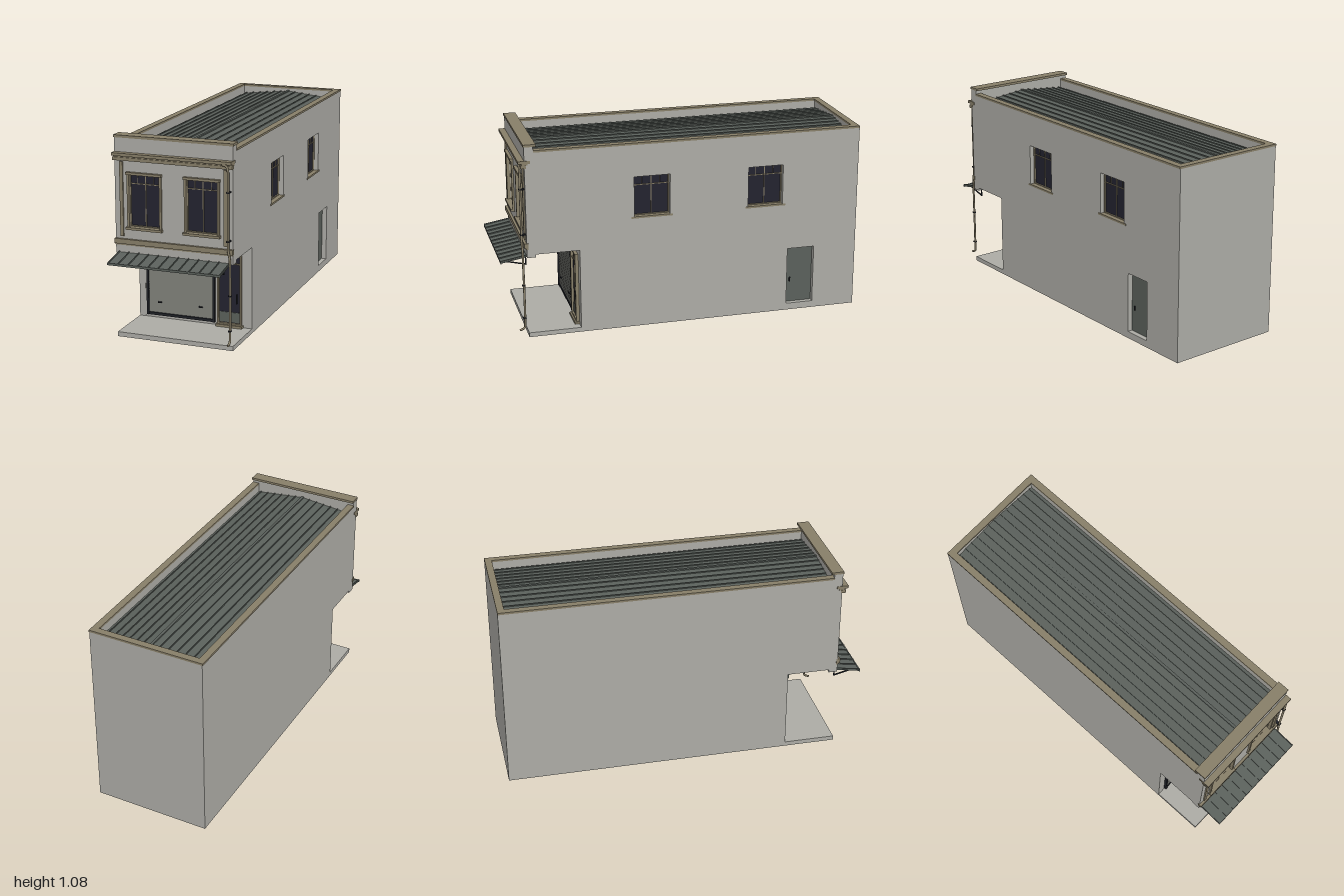
import * as THREE from 'three';

const mat = (name, color) => Object.assign(new THREE.MeshStandardMaterial({ color }), { name });
const wall = mat('render grey', 0xacaba5);
const trim = mat('stone trim', 0x877e68);
const metal = mat('sheet metal', 0x5a605b);
const glass = mat('dark glass', 0x23232f);
const dark = mat('dark iron', 0x1e2026);
const slat = mat('shutter grey', 0x74756f);

// Box given by its limits on each axis
function box(parent, name, material, x0, x1, y0, y1, z0, z1) {
  const m = new THREE.Mesh(new THREE.BoxGeometry(x1 - x0, y1 - y0, z1 - z0), material);
  m.position.set((x0 + x1) / 2, (y0 + y1) / 2, (z0 + z1) / 2);
  m.name = name;
  parent.add(m);
  return m;
}

// Wall panel from an outline with rectangular holes [u0, u1, v0, v1]
function panel(parent, name, outline, holes, depth) {
  const shape = new THREE.Shape(outline.map(([u, v]) => new THREE.Vector2(u, v)));
  for (const [a, b, c, d] of holes) {
    shape.holes.push(new THREE.Path([[a, c], [a, d], [b, d], [b, c]].map(([u, v]) => new THREE.Vector2(u, v))));
  }
  const m = new THREE.Mesh(new THREE.ExtrudeGeometry(shape, { depth, bevelEnabled: false }), wall);
  m.name = name;
  parent.add(m);
  return m;
}

function frame(parent, w, h, t, z0, z1) {
  box(parent, 'frameLeft', trim, -w / 2, -w / 2 + t, 0, h, z0, z1);
  box(parent, 'frameRight', trim, w / 2 - t, w / 2, 0, h, z0, z1);
  box(parent, 'frameTop', trim, -w / 2 + t, w / 2 - t, h - t, h, z0, z1);
  box(parent, 'frameBottom', trim, -w / 2 + t, w / 2 - t, 0, t, z0, z1);
}

// Sash window facing +z, standing on its own y = 0
function makeWindow(w, h, transom) {
  const g = new THREE.Group();
  g.name = 'window';
  box(g, 'pane', glass, -w / 2, w / 2, 0, h, -0.008, 0);
  frame(g, w, h, 0.006, 0, 0.008);
  box(g, 'mullion', trim, -0.002, 0.002, 0, h, 0, 0.005);
  box(g, 'transom', trim, -w / 2, w / 2, transom - 0.002, transom + 0.002, 0, 0.006);
  for (const s of [-1, 1]) box(g, 'glazingBar', trim, s * w / 4 - 0.001, s * w / 4 + 0.001, transom, h, 0, 0.004);
  return g;
}

function makeShell() {
  const g = new THREE.Group();
  g.name = 'shell';
  const X = 0.322, T = 0.035;
  box(g, 'floorSlab', wall, -X, X, 0, 0.025, -1, 0.86);
  box(g, 'backWall', wall, -X, X, 0.025, 1.035, -1, -0.965);
  // Side walls, u runs towards the back
  const side = [[-0.574, 0.025], [0.966, 0.025], [0.966, 1.035], [-0.81, 1.035], [-0.81, 0.472], [-0.574, 0.472]];
  const holes = [[-0.273, -0.075, 0.633, 0.858], [0.365, 0.563, 0.633, 0.858], [0.6, 0.755, 0.038, 0.367]];
  for (const s of [-1, 1]) {
    const m = panel(g, s > 0 ? 'leftWall' : 'rightWall', side, s > 0 ? holes : [], T);
    m.rotation.y = Math.PI / 2;
    m.position.x = s > 0 ? X - T : -X;
  }
  // Upper front wall with two openings and the taller parapet
  panel(g, 'upperFrontWall', [[-X, 0.456], [X, 0.456], [X, 1.066], [-X, 1.066]],
    [[-0.244, -0.068, 0.603, 0.88], [0.07, 0.244, 0.603, 0.88]], 0.048).position.z = 0.81;
  box(g, 'shopWall', wall, -X + T, X - T, 0.025, 0.472, 0.54, 0.573);
  box(g, 'porchCeiling', wall, -X + T, X - T, 0.472, 0.49, 0.54, 0.81);
  box(g, 'porchLamp', dark, -0.02, 0.02, 0.462, 0.472, 0.72, 0.75);

  // Copings
  for (const s of [-1, 1]) box(g, 'sideCoping', trim, s * 0.306 - 0.019, s * 0.306 + 0.019, 1.035, 1.046, -1, 0.81);
  box(g, 'backCoping', trim, -0.287, 0.287, 1.035, 1.046, -1, -0.962);
  box(g, 'frontCoping', trim, -0.325, 0.325, 1.066, 1.079, 0.795, 0.862);
  return g;
}

function makeRoof() {
  const g = new THREE.Group();
  g.name = 'roof';
  const shape = new THREE.Shape([[-0.289, 0.97], [0.289, 0.97], [0.289, 0.99], [0, 1.02], [-0.289, 0.99]].map(p => new THREE.Vector2(...p)));
  const deck = new THREE.Mesh(new THREE.ExtrudeGeometry(shape, { depth: 1.775, bevelEnabled: false }), metal);
  deck.position.z = -0.965;
  deck.name = 'roofDeck';
  g.add(deck);
  for (let i = -6; i <= 6; i++) {
    const x = i * 0.045, y = 1.02 - Math.abs(x) * 0.104, w = i ? 0.002 : 0.007;
    box(g, 'seam', metal, x - w, x + w, y - 0.004, y + 0.006, -0.965, 0.81);
  }
  return g;
}

function makeFacade() {
  const g = new THREE.Group();
  g.name = 'facadeTrim';
  box(g, 'corniceTop', trim, -0.325, 0.325, 0.977, 0.992, 0.828, 0.892);
  box(g, 'corniceNeck', trim, -0.324, 0.324, 0.968, 0.977, 0.84, 0.872);
  box(g, 'corniceBase', trim, -0.325, 0.325, 0.951, 0.968, 0.85, 0.878);
  box(g, 'stringCourse', trim, -0.325, 0.325, 0.511, 0.537, 0.85, 0.872);
  box(g, 'stringCourseLip', trim, -0.323, 0.323, 0.503, 0.511, 0.85, 0.864);
  for (const s of [-1, 1]) box(g, 'pilasterStrip', trim, s * 0.284 - 0.009, s * 0.284 + 0.009, 0.551, 0.943, 0.855, 0.866);
  for (const x of [-0.157, 0.157]) {
    const win = makeWindow(0.176, 0.277, 0.226);
    win.position.set(x, 0.603, 0.84);
    g.add(win);
    box(g, 'lintel', trim, x - 0.098, x + 0.098, 0.879, 0.892, 0.85, 0.876);
    box(g, 'sill', trim, x - 0.1, x + 0.1, 0.591, 0.604, 0.84, 0.88);
    for (const s of [-1, 1]) box(g, 'casing', trim, x + s * 0.089 - 0.006, x + s * 0.089 + 0.006, 0.604, 0.879, 0.85, 0.868);
  }
  return g;
}

function makeSideOpenings() {
  const g = new THREE.Group();
  g.name = 'sideOpenings';
  for (const z of [0.174, -0.464]) {
    const win = makeWindow(0.198, 0.225, 0.171);
    win.rotation.y = Math.PI / 2;
    win.position.set(0.29, 0.633, z);
    g.add(win);
    box(g, 'sideSill', trim, 0.288, 0.325, 0.625, 0.635, z - 0.115, z + 0.115);
  }
  box(g, 'sideDoor', metal, 0.285, 0.294, 0.038, 0.367, -0.755, -0.6);
  box(g, 'sideDoorHandle', dark, 0.294, 0.302, 0.16, 0.185, -0.629, -0.623);
  return g;
}

function makeShopfront() {
  const g = new THREE.Group();
  g.name = 'shopfront';
  // Roller shutter
  box(g, 'shutterBack', slat, -0.264, 0.104, 0.04, 0.425, 0.57, 0.576);
  for (let i = 0; i < 36; i++) {
    const y = 0.055 + i * 0.01;
    box(g, 'shutterSlat', slat, -0.264, 0.104, y, y + 0.0095, 0.574, 0.579).rotation.x = -0.3;
  }
  for (const x of [-0.27, 0.11]) box(g, 'shutterRail', dark, x - 0.006, x + 0.006, 0.04, 0.43, 0.572, 0.588);
  box(g, 'shutterBottomBar', dark, -0.264, 0.104, 0.04, 0.054, 0.572, 0.584);
  box(g, 'shutterHousing', metal, -0.278, 0.118, 0.42, 0.448, 0.572, 0.595);
  for (const x of [-0.2, 0.035]) box(g, 'shutterHandle', dark, x - 0.01, x + 0.01, 0.112, 0.118, 0.578, 0.588);

  // Double glazed door with solid lower panels
  const door = new THREE.Group();
  door.name = 'shopDoor';
  door.position.set(0.199, 0.037, 0.573);
  box(door, 'doorGlass', glass, -0.06, 0.06, 0, 0.385, 0, 0.004);
  frame(door, 0.134, 0.391, 0.009, 0, 0.018);
  box(door, 'doorMeeting', trim, -0.003, 0.003, 0, 0.385, 0.003, 0.011);
  box(door, 'doorTransom', trim, -0.06, 0.06, 0.333, 0.339, 0.003, 0.012);
  for (const s of [-1, 1]) {
    box(door, 'kickPanel', metal, s * 0.031 - 0.028, s * 0.031 + 0.028, 0.012, 0.068, 0.003, 0.008);
    box(door, 'doorBar', trim, s * 0.03 - 0.001, s * 0.03 + 0.001, 0.339, 0.385, 0.003, 0.008);
  }
  box(door, 'doorHandle', dark, 0.04, 0.044, 0.12, 0.172, 0.01, 0.018);
  g.add(door);
  box(g, 'threshold', trim, 0.125, 0.273, 0.025, 0.038, 0.572, 0.6);
  return g;
}

function makeAwning() {
  const g = new THREE.Group();
  g.name = 'awning';
  // Sloping sheet with standing seams
  const sheet = new THREE.Group();
  sheet.position.set(0, 0.463, 0.858);
  sheet.rotation.x = 0.17;
  box(sheet, 'awningSheet', metal, -0.308, 0.308, -0.006, 0, 0, 0.142);
  for (let i = 0; i <= 11; i++) {
    const x = -0.304 + i * 0.608 / 11;
    box(sheet, 'awningSeam', metal, x - 0.002, x + 0.002, 0, 0.006, 0, 0.142);
  }
  g.add(sheet);
  box(g, 'awningFascia', metal, -0.308, 0.308, 0.43, 0.442, 0.993, 0.999);
  // Iron struts
  for (const x of [-0.272, 0, 0.272]) {
    const strut = box(g, 'awningStrut', dark, x - 0.003, x + 0.003, -0.003, 0.003, -0.07, 0.07);
    strut.position.set(x, 0.42, 0.925);
    strut.rotation.x = -0.24;
    box(g, 'strutPlate', dark, x - 0.003, x + 0.003, 0.4, 0.46, 0.856, 0.862);
  }
  return g;
}

function makeDownpipe() {
  const g = new THREE.Group();
  g.name = 'downpipe';
  const pts = [[0.27, 0.973, 0.88], [0.293, 0.97, 0.882], [0.304, 0.945, 0.882], [0.305, 0.92, 0.882], [0.305, 0.56, 0.882],
    [0.306, 0.53, 0.882], [0.313, 0.49, 0.88], [0.314, 0.46, 0.88], [0.314, 0.08, 0.88], [0.314, 0.055, 0.883], [0.314, 0.042, 0.91]];
  const curve = new THREE.CatmullRomCurve3(pts.map(p => new THREE.Vector3(...p)));
  const pipe = new THREE.Mesh(new THREE.TubeGeometry(curve, 120, 0.006, 10), trim);
  pipe.material.side = THREE.DoubleSide;
  pipe.name = 'pipe';
  g.add(pipe);
  for (const [x, y] of [[0.305, 0.835], [0.305, 0.583], [0.314, 0.3], [0.314, 0.113]]) {
    box(g, 'pipeClip', dark, x - 0.008, x + 0.008, y - 0.003, y + 0.003, y > 0.5 ? 0.856 : 0.872, 0.89);
  }
  return g;
}

export function createModel() {
  const model = new THREE.Group();
  model.name = 'shopBuilding';
  model.add(makeShell(), makeRoof(), makeFacade(), makeSideOpenings(), makeShopfront(), makeAwning(), makeDownpipe());
  return model;
}
